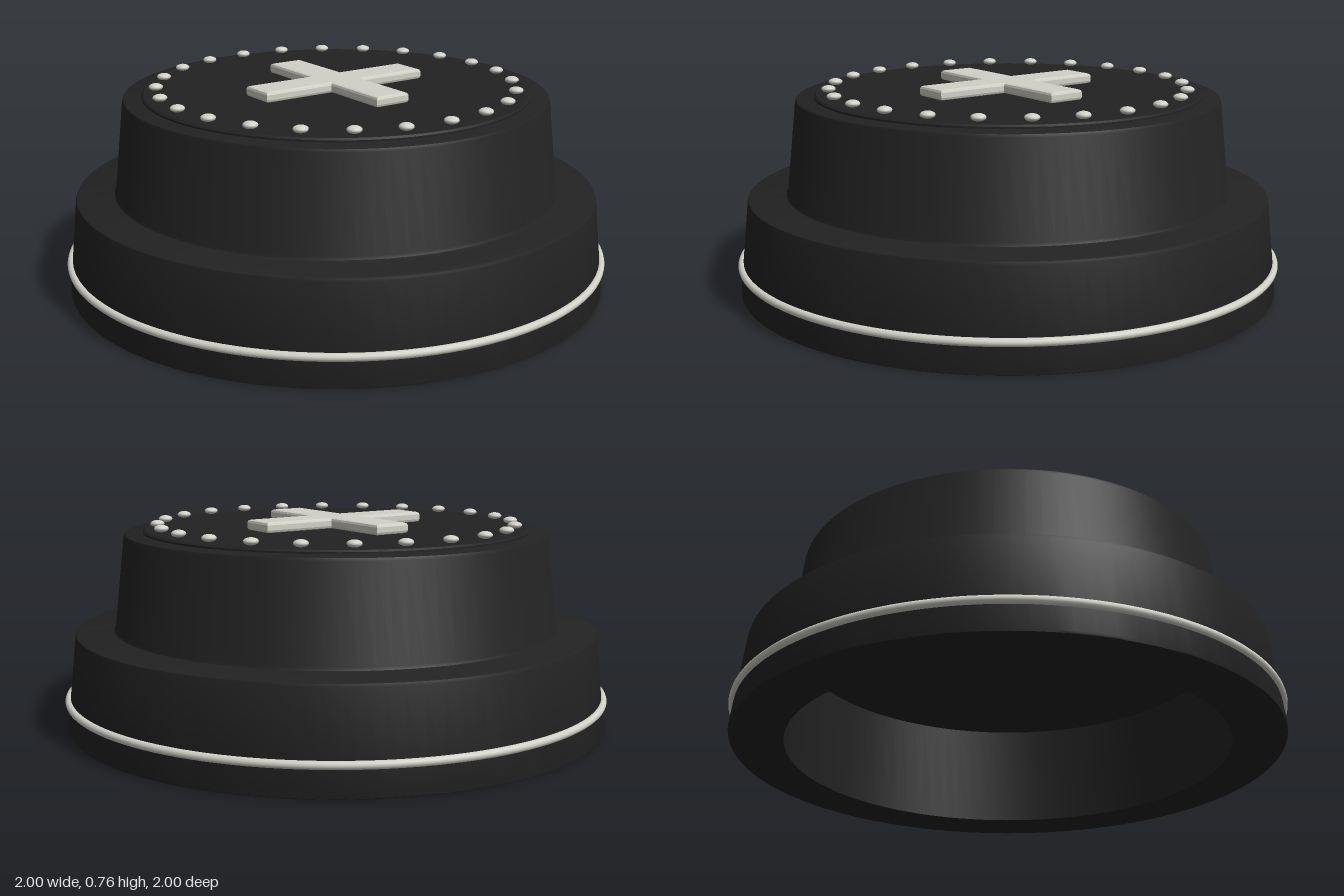
import * as THREE from 'three';
import { toCreasedNormals } from 'three/addons/utils/BufferGeometryUtils.js';

const black = new THREE.MeshStandardMaterial({ color: 0x222222 });
black.name = 'black';
const ivory = new THREE.MeshStandardMaterial({ color: 0xd2d1c7 });
ivory.name = 'pale metal';

export function createModel() {
  const group = new THREE.Group();
  const add = (name, geometry, material, parent = group) => {
    const mesh = new THREE.Mesh(geometry, material);
    mesh.name = name;
    parent.add(mesh);
    return mesh;
  };
  const lathe = (profile) => toCreasedNormals(
    new THREE.LatheGeometry(profile.map(([r, y]) => new THREE.Vector2(r, y)), 96), 0.6);

  // Stepped hollow body: cavity ceiling, cavity wall, foot, shoulder, crown
  add('body', lathe([
    [0, 0.39], [0.79, 0.39], [0.8, 0],
    [0.985, 0], [0.991, 0.003], [0.993, 0.01],
    [0.956, 0.342], [0.953, 0.351], [0.945, 0.355],
    [0.825, 0.355], [0.816, 0.359], [0.811, 0.37],
    [0.774, 0.697], [0.77, 0.706], [0.76, 0.71], [0, 0.71],
  ]), black);

  // Slightly raised top plate
  add('topPlate', lathe([
    [0.705, 0.705], [0.705, 0.716], [0.698, 0.722], [0, 0.722],
  ]), black);

  // Trim ring around the foot
  const ring = add('trimRing', new THREE.TorusGeometry(0.986, 0.014, 12, 128), ivory);
  ring.rotation.x = Math.PI / 2;
  ring.position.y = 0.108;

  // Bevelled cross emblem
  const bevel = 0.01, a = 0.34 - bevel, b = 0.068 - bevel;
  const shape = new THREE.Shape([
    [a, -b], [a, b], [b, b], [b, a], [-b, a], [-b, b],
    [-a, b], [-a, -b], [-b, -b], [-b, -a], [b, -a], [b, -b],
  ].map(([x, y]) => new THREE.Vector2(x, y)));
  const crossGeometry = new THREE.ExtrudeGeometry(shape, {
    depth: 0.018, bevelSize: bevel, bevelThickness: bevel, bevelSegments: 2,
  });
  crossGeometry.rotateX(-Math.PI / 2);
  add('cross', crossGeometry, ivory).position.y = 0.732;

  // Circle of flattened rivets
  const rivets = new THREE.Group();
  rivets.name = 'rivets';
  group.add(rivets);
  const rivetGeometry = new THREE.SphereGeometry(0.026, 16, 10);
  rivetGeometry.scale(1, 0.5, 1);
  for (let i = 0; i < 24; i++) {
    const angle = (i / 24) * Math.PI * 2;
    add('rivet', rivetGeometry, ivory, rivets)
      .position.set(Math.cos(angle) * 0.653, 0.737, Math.sin(angle) * 0.653);
  }

  return group;
}
